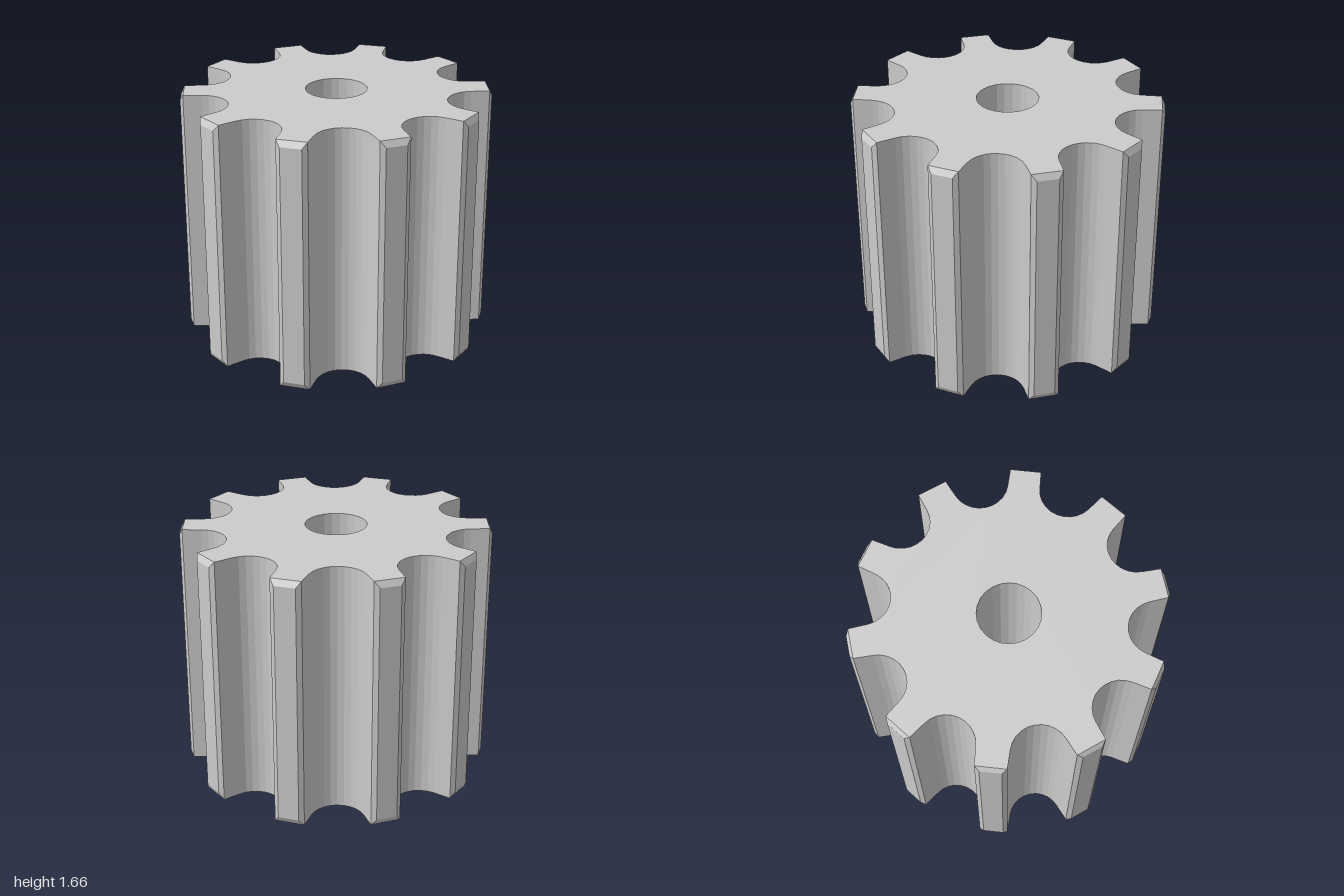
import * as THREE from 'three';

const TEETH = 10, HEIGHT = 1.66, BEVEL = 0.04, BORE = 0.2;
const PHASE = THREE.MathUtils.degToRad(8.1);
const PITCH = (Math.PI * 2) / TEETH;

// Point given as radial / tangential offsets about a direction
const polar = (u, t, a) =>
  new THREE.Vector2(u * Math.cos(a) - t * Math.sin(a), u * Math.sin(a) + t * Math.cos(a));

// Counter-clockwise outline; on the end faces the tip is cut back to its corners
function gearOutline(endFace) {
  const pts = [];
  const tipU = endFace ? 0.979 : 1.0, tipT = endFace ? 0.098 : 0.068;
  for (let i = 0; i < TEETH; i++) {
    const a = PHASE + i * PITCH;
    pts.push(polar(0.979, -0.098, a), polar(tipU, -tipT, a), polar(tipU, tipT, a), polar(0.979, 0.098, a));
    // Round valley between this tooth and the next
    const segs = 10, r = 0.178, spread = THREE.MathUtils.degToRad(70);
    for (let k = 0; k <= segs; k++) {
      const f = -spread + (2 * spread * k) / segs;
      pts.push(polar(0.908 - r * Math.cos(f), r * Math.sin(f), a + PITCH / 2));
    }
  }
  return pts;
}

// Wall joining a stack of outlines, each { y, pts }
function wall(rings) {
  const pos = [];
  const put = (p, y) => pos.push(p.x, y, -p.y);
  for (let j = 0; j < rings.length - 1; j++) {
    const lo = rings[j], hi = rings[j + 1], n = lo.pts.length;
    for (let i = 0; i < n; i++) {
      const k = (i + 1) % n;
      const tri = (...c) => {
        const [p, q, s] = c.map(([v, y]) => new THREE.Vector3(v.x, y, -v.y));
        if (q.sub(p).cross(s.sub(p)).length() > 1e-8) c.forEach(([v, y]) => put(v, y));
      };
      tri([lo.pts[i], lo.y], [lo.pts[k], lo.y], [hi.pts[k], hi.y]);
      tri([lo.pts[i], lo.y], [hi.pts[k], hi.y], [hi.pts[i], hi.y]);
    }
  }
  const geo = new THREE.BufferGeometry();
  geo.setAttribute('position', new THREE.Float32BufferAttribute(pos, 3));
  geo.computeVertexNormals();
  return geo;
}

export function createModel() {
  const group = new THREE.Group();
  group.name = 'pinionGear';
  const mat = new THREE.MeshStandardMaterial({ color: 0xcccccc, flatShading: true });
  const add = (name, geo) => {
    const mesh = new THREE.Mesh(geo, mat);
    mesh.name = name;
    group.add(mesh);
  };

  const full = gearOutline(false), end = gearOutline(true);
  const bore = Array.from({ length: 24 }, (_, i) => polar(BORE, 0, (i * Math.PI * 2) / 24));

  // Toothed wall with bevelled tips at both ends
  add('teeth', wall([
    { y: 0, pts: end },
    { y: BEVEL, pts: full },
    { y: HEIGHT - BEVEL, pts: full },
    { y: HEIGHT, pts: end },
  ]));

  // Shaft hole, facing inwards
  const inner = [...bore].reverse();
  add('bore', wall([{ y: 0, pts: inner }, { y: HEIGHT, pts: inner }]));

  // End faces
  const face = new THREE.Shape(end.filter((p, i) => i === 0 || p.distanceTo(end[i - 1]) > 1e-6));
  face.holes.push(new THREE.Path(inner));
  add('topFace', new THREE.ShapeGeometry(face).rotateX(-Math.PI / 2).translate(0, HEIGHT, 0));
  const bottom = new THREE.ShapeGeometry(face).rotateX(-Math.PI / 2);
  const idx = bottom.index.array;
  for (let i = 0; i < idx.length; i += 3) [idx[i], idx[i + 1]] = [idx[i + 1], idx[i]];
  bottom.computeVertexNormals();
  add('bottomFace', bottom);

  return group;
}
